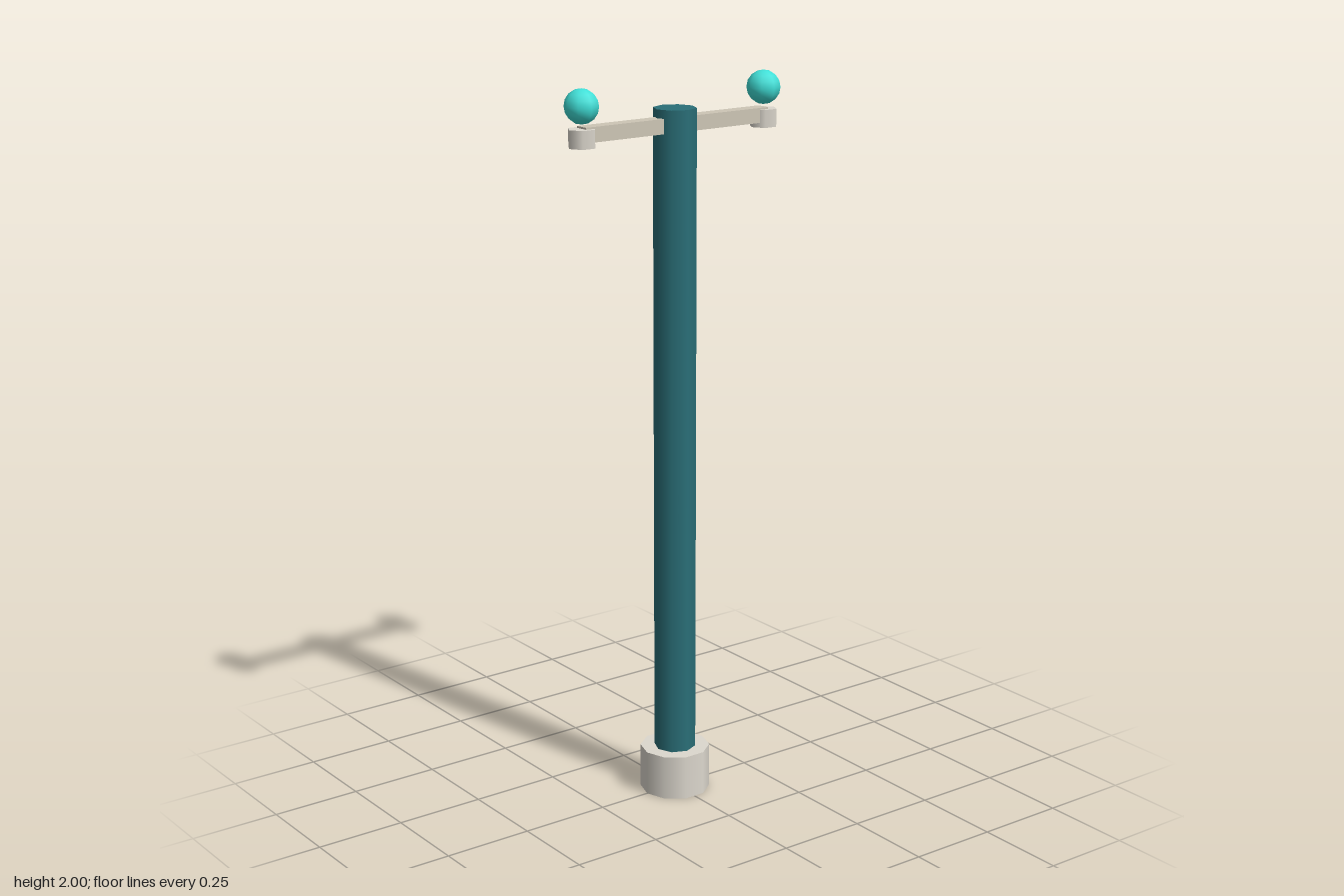
import * as THREE from 'three';

const paint = (color) => new THREE.MeshStandardMaterial({ color });
const TEAL = paint(0x2a6f78);
const STONE = paint(0xddd8ce);
const TAN = paint(0xcdc6b6);
const GLASS = paint(0x40e0d8);

function part(name, geometry, material, x, y) {
  const mesh = new THREE.Mesh(geometry, material);
  mesh.name = name;
  mesh.position.set(x, y, 0);
  return mesh;
}

// Upright prism with a corner pointing along x
function prism(radius, height, sides) {
  return new THREE.CylinderGeometry(radius, radius, height, sides).rotateY(Math.PI / 2);
}

export function createModel() {
  const model = new THREE.Group();
  model.name = 'lampPost';

  // Footing and pole
  model.add(part('base', prism(0.097, 0.125, 10), STONE, 0, 0.0625));
  model.add(part('pole', prism(0.058, 1.865, 8), TEAL, 0, 0.9925));

  // Crossbar through the top of the pole
  model.add(part('crossbar', new THREE.BoxGeometry(0.59, 0.04, 0.04), TAN, 0, 1.882));

  // A holder and a globe at each end
  for (const side of [1, -1]) {
    const lamp = new THREE.Group();
    lamp.name = side > 0 ? 'leftLamp' : 'rightLamp';
    lamp.add(part('holder', prism(0.038, 0.048, 6), STONE, 0, 1.873));
    lamp.add(part('globe', new THREE.SphereGeometry(0.046, 8, 8), GLASS, 0, 1.954));
    lamp.position.x = side * 0.295;
    model.add(lamp);
  }
  return model;
}
